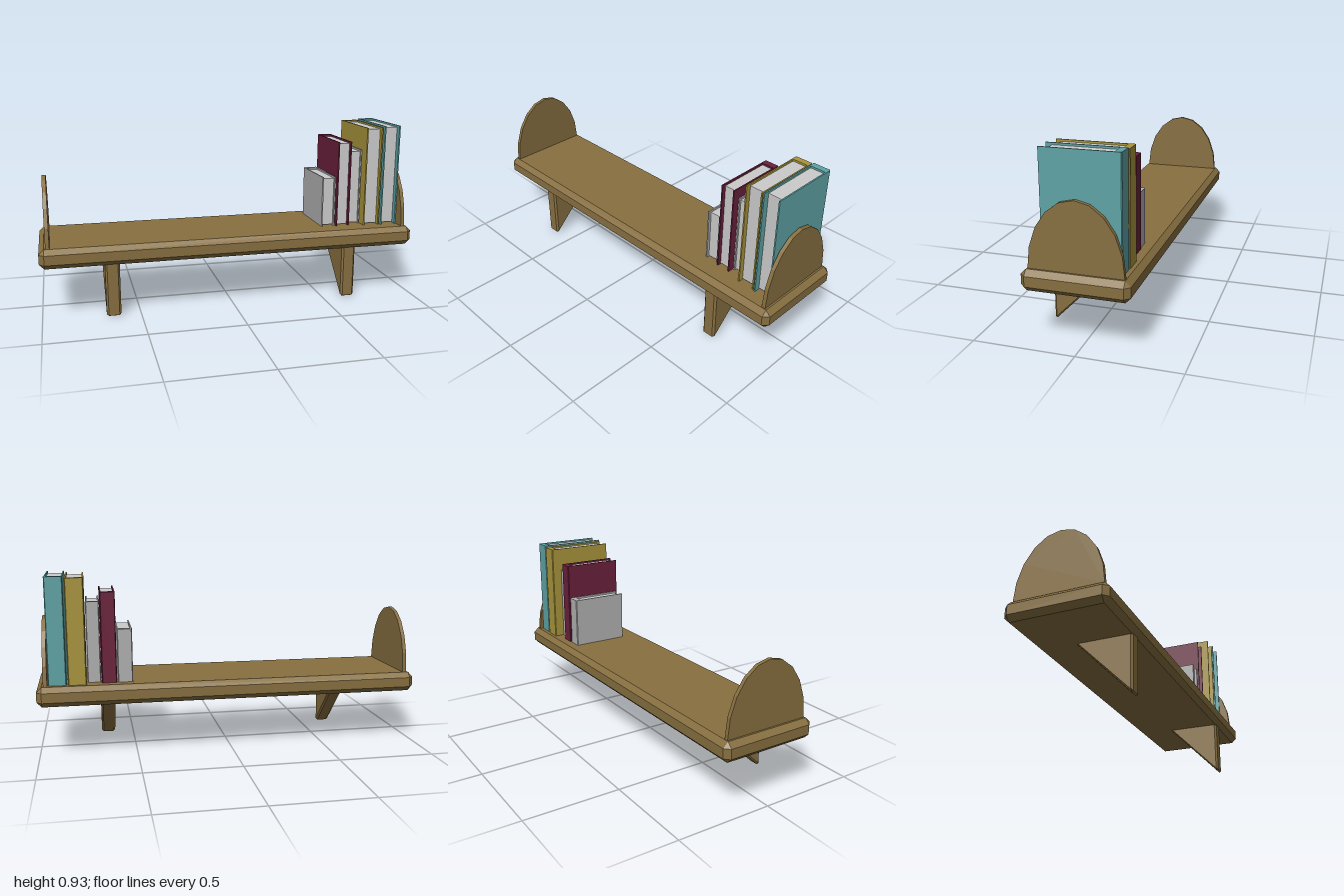
import * as THREE from 'three';
import { ConvexGeometry } from 'three/addons/geometries/ConvexGeometry.js';

const mat = (color) => new THREE.MeshStandardMaterial({ color, flatShading: true });

// Box with a flat chamfer on every edge and corner
function chamferedBox(hx, hy, hz, b) {
  const points = [];
  for (const x of [-1, 1]) for (const y of [-1, 1]) for (const z of [-1, 1]) {
    points.push(
      new THREE.Vector3(x * hx, y * (hy - b), z * (hz - b)),
      new THREE.Vector3(x * (hx - b), y * hy, z * (hz - b)),
      new THREE.Vector3(x * (hx - b), y * (hy - b), z * hz));
  }
  return new ConvexGeometry(points);
}

const shapeOf = (pts) => new THREE.Shape(pts.map(([x, y]) => new THREE.Vector2(x, y)));

// Extrudes a (z, y) outline along x, centred on x = 0
function sideProfile(pts, width, bevel = 0) {
  const geo = new THREE.ExtrudeGeometry(shapeOf(pts), {
    depth: width - 2 * bevel, bevelEnabled: bevel > 0, bevelSegments: 1,
    bevelSize: bevel, bevelThickness: bevel, bevelOffset: -bevel,
  });
  geo.translate(0, 0, -(width - 2 * bevel) / 2);
  geo.rotateY(-Math.PI / 2);
  return geo;
}

export function createModel() {
  const root = new THREE.Group();
  const wood = mat(0x876f40);
  const paper = mat(0xcccccc);
  const floor = 0.38;

  function add(parent, name, geo, material, x = 0, y = 0, z = 0) {
    const mesh = new THREE.Mesh(geo, material);
    mesh.name = name;
    mesh.position.set(x, y, z);
    parent.add(mesh);
    return mesh;
  }

  // Shelf board
  add(root, 'shelfBoard', chamferedBox(1, 0.051, 0.255, 0.026), wood, 0, 0.329, 0);

  // Arched end panels
  const arch = [];
  for (let i = 0; i <= 10; i++) {
    const a = (i / 10) * Math.PI;
    arch.push([0.225 * Math.cos(a), floor + 0.331 * Math.sin(a)]);
  }
  arch.push([-0.225, floor - 0.01], [0.225, floor - 0.01]);

  // Triangular brackets
  const triangle = [[0.232, 0.29], [-0.062, 0.29], [0.222, 0], [0.232, 0.005]];

  for (const [side, s] of [['left', 1], ['right', -1]]) {
    add(root, side + 'EndPanel', sideProfile(arch, 0.02), wood, s * 0.955);
    add(root, side + 'Bracket', sideProfile(triangle, 0.075, 0.01), wood, s * 0.64);
  }

  // Books: x range, top, spine z, cover front z, page front z, cover colour
  const books = [
    [0.515, 0.592, 0.655, -0.18, 0.13, 0.115, 0xb0b0b0],
    [0.597, 0.673, 0.845, -0.185, 0.14, 0.12, 0x6b203c],
    [0.677, 0.745, 0.795, -0.16, 0.11, 0.1, 0xb0b0b0],
    [0.75, 0.842, 0.92, -0.21, 0.16, 0.135, 0xa8943c],
    [0.85, 0.941, 0.927, -0.207, 0.165, 0.135, 0x5fa3a5],
  ];
  const t = 0.007, spine = 0.033, c = 0.004, lip = 0.01;
  books.forEach(([x0, x1, top, back, front, pageFront, color], i) => {
    const book = new THREE.Group();
    book.name = 'book' + (i + 1);
    root.add(book);

    // U-shaped cover wrapped around the spine
    const cover = new THREE.ExtrudeGeometry(shapeOf([
      [x0, -front], [x0 + t, -front], [x0 + t, -back - spine], [x1 - t, -back - spine],
      [x1 - t, -front], [x1, -front], [x1, -back - c], [x1 - c, -back],
      [x0 + c, -back], [x0, -back - c],
    ]), { depth: top - floor, bevelEnabled: false });
    cover.rotateX(-Math.PI / 2);
    add(book, 'cover', cover, mat(color), 0, floor, 0);

    // Page block, set in from the cover edges
    const z0 = back + spine;
    const height = top - floor - 1.5 * lip;
    add(book, 'pages', new THREE.BoxGeometry(x1 - x0 - 2 * t, height, pageFront - z0), paper,
      (x0 + x1) / 2, floor + lip / 2 + height / 2, (z0 + pageFront) / 2);
  });

  return root;
}
